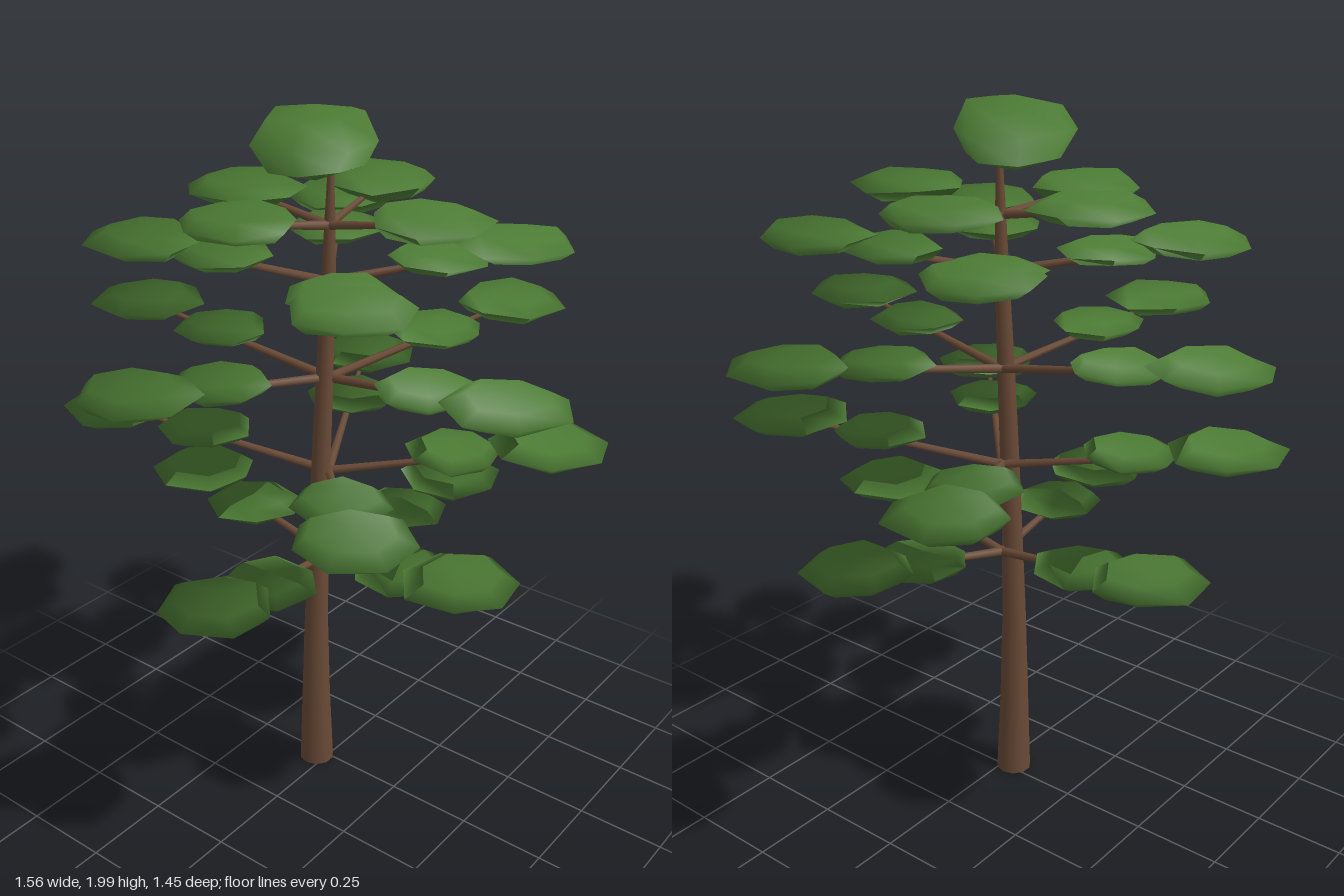
import * as THREE from 'three';

const bark = new THREE.MeshStandardMaterial({ color: 0x6b4b37 });
bark.name = 'bark brown';
const leaf = new THREE.MeshStandardMaterial({ color: 0x4c7a34 });
leaf.name = 'leaf green';

// Trunk stations: [y, centre x, centre z, radius]
const TRUNK = [
  [0, -0.03, 0.02, 0.052], [0.25, -0.022, 0.032, 0.043], [0.5, -0.014, 0.04, 0.036],
  [0.75, -0.008, 0.038, 0.031], [1, -0.004, 0.03, 0.028], [1.27, 0, 0.018, 0.025],
  [1.54, 0, 0, 0.02], [1.7, 0, -0.006, 0.015], [1.86, 0, -0.01, 0.007],
];

// Branch whorls: root height, outer and inner pad heights, outer pad centres [x, z]
const TIERS = [
  { root: 0.72, outer: 0.815, inner: 0.775, pads: [[0.04, 0.52], [-0.53, -0.06], [0.1, -0.48], [0.47, 0.04]] },
  { root: 0.99, outer: 1.105, inner: 1.07, pads: [[0.42, 0.45], [-0.59, 0.21], [-0.29, -0.56], [0.52, -0.3]] },
  { root: 1.27, outer: 1.375, inner: 1.34, pads: [[-0.14, 0.58], [-0.62, 0.05], [0.21, -0.58], [0.61, 0.09]] },
  { root: 1.54, outer: 1.637, inner: 1.605, pads: [[0.35, 0.37], [-0.42, 0.25], [-0.28, -0.42], [0.38, -0.31]] },
  { root: 1.69, outer: 1.742, pads: [[-0.08, 0.26], [-0.29, -0.01], [-0.05, -0.3], [0.29, -0.03]] },
];

function add(group, geometry, material, name) {
  const mesh = new THREE.Mesh(geometry, material);
  mesh.name = name;
  group.add(mesh);
  return mesh;
}

// Leaning tapered trunk
function trunkGeometry() {
  const rows = TRUNK.length - 1;
  const g = new THREE.CylinderGeometry(1, 1, 1, 10, rows);
  const p = g.attributes.position;
  for (let i = 0; i < p.count; i++) {
    const [y, x, z, r] = TRUNK[Math.round((p.getY(i) + 0.5) * rows)];
    p.setXYZ(i, x + p.getX(i) * r, y, z + p.getZ(i) * r);
  }
  return g;
}

// Thin tapered branch between two points
function branch(group, from, to) {
  const dir = to.clone().sub(from);
  const mesh = add(group, new THREE.CylinderGeometry(0.006, 0.013, dir.length(), 6), bark, 'branch');
  mesh.position.copy(from).addScaledVector(dir, 0.5);
  mesh.quaternion.setFromUnitVectors(new THREE.Vector3(0, 1, 0), dir.normalize());
}

// Flattened, slightly irregular leaf pad; its normals lean away from the middle of the tree
function pad(group, centre, radius, half, seed, name) {
  const g = new THREE.SphereGeometry(1, 7, 4);
  g.rotateY(seed * 1.7);
  const p = g.attributes.position, n = g.attributes.normal;
  const v = new THREE.Vector3(), own = new THREE.Vector3(), out = new THREE.Vector3();
  for (let i = 0; i < p.count; i++) {
    v.fromBufferAttribute(p, i);
    const wobble = 1.02 + 0.07 * Math.sin(v.x * 5 + v.y * 4 + v.z * 7 + seed * 2.3);
    own.set(v.x / radius, v.y / half, v.z / radius).normalize();
    v.set(v.x * radius * wobble, v.y * half + 0.1 * half * Math.sin(v.x * 4 + seed), v.z * radius * wobble);
    p.setXYZ(i, v.x, v.y, v.z);
    out.copy(v).add(centre).sub(new THREE.Vector3(0, 1.2, 0)).normalize();
    own.multiplyScalar(0.8).add(out).normalize();
    n.setXYZ(i, own.x, own.y, own.z);
  }
  add(group, g, leaf, name).position.copy(centre);
}

export function createModel() {
  const tree = new THREE.Group();
  tree.name = 'tree';
  add(tree, trunkGeometry(), bark, 'trunk');

  // Whorls of four branches with an inner and an outer pad
  let seed = 1;
  TIERS.forEach((t, k) => {
    const tier = new THREE.Group();
    tier.name = 'branchTier' + (k + 1);
    tree.add(tier);
    for (const [x, z] of t.pads) {
      const end = new THREE.Vector3(x, t.outer, z);
      branch(tier, new THREE.Vector3(0, t.root, 0), end.clone().setY(t.outer - 0.01));
      pad(tier, end, 0.155, 0.04, seed++, 'outerLeafPad');
      if (t.inner) pad(tier, new THREE.Vector3(x * 0.58, t.inner, z * 0.58), 0.135, 0.034, seed++, 'innerLeafPad');
    }
  });

  // Rounded tuft at the tip
  pad(tree, new THREE.Vector3(-0.03, 1.905, 0.015), 0.167, 0.095, seed, 'crownTuft');
  return tree;
}
